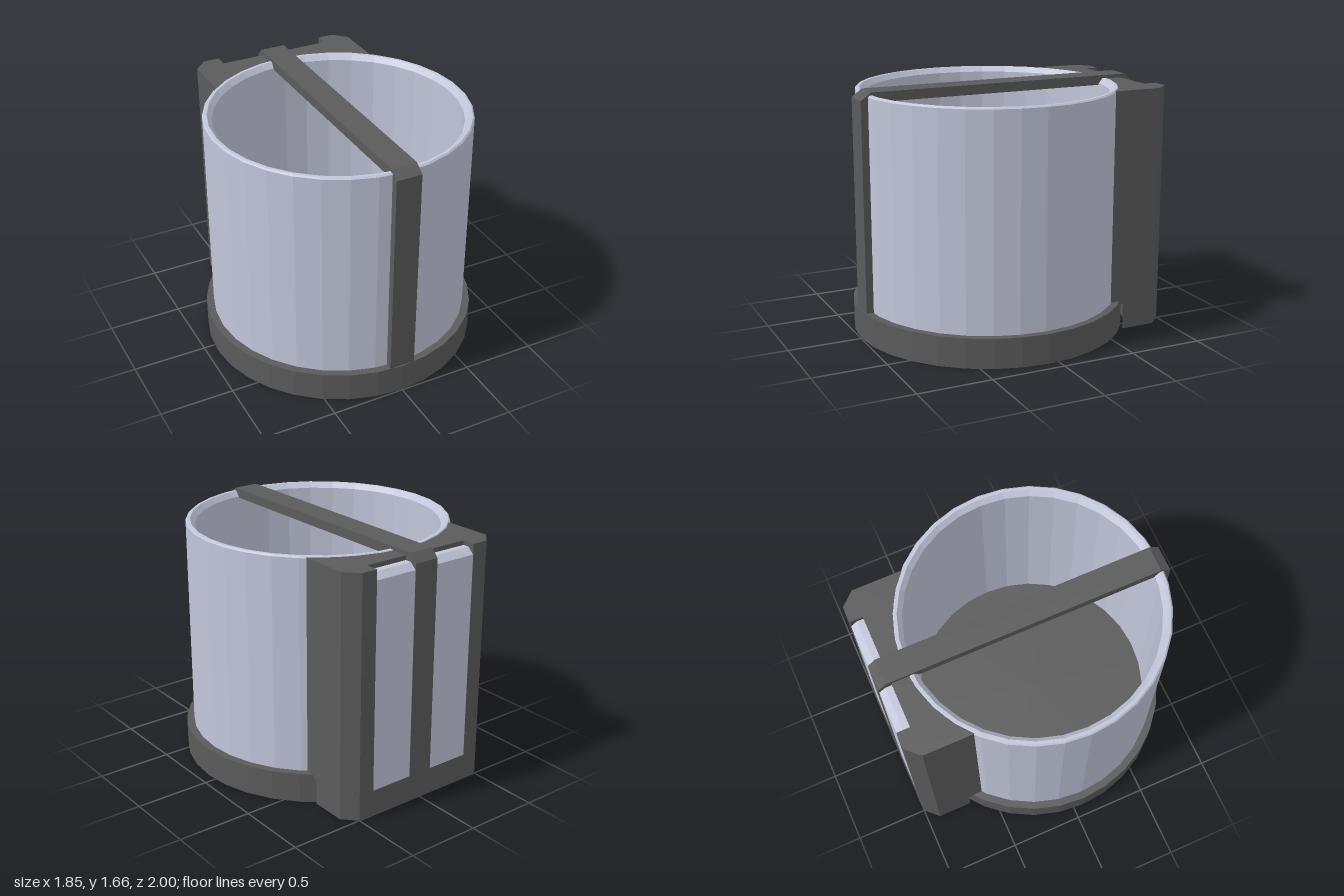
import * as THREE from 'three';

const CZ = 0.07;    // centre of the round cup along z
const SIDES = 32;

const grey = new THREE.MeshStandardMaterial({ color: 0x5b5b5b });
grey.name = 'dark grey';
const lavender = new THREE.MeshStandardMaterial({ color: 0xc2c6da });
lavender.name = 'pale lavender';

// Gives every face its own flat normal
function faceted(geometry) {
  const g = geometry.index ? geometry.toNonIndexed() : geometry;
  g.computeVertexNormals();
  return g;
}

function part(name, geometry, material) {
  const mesh = new THREE.Mesh(faceted(geometry), material);
  mesh.name = name;
  return mesh;
}

function lathe(points) {
  const g = new THREE.LatheGeometry(points.map(([r, y]) => new THREE.Vector2(r, y)), SIDES);
  return g.translate(0, 0, CZ);
}

// Extrudes a [z, y] profile across x, centred on the given x
function acrossX(profile, width, x) {
  const shape = new THREE.Shape(profile.map(([z, y]) => new THREE.Vector2(-z, y)));
  const g = new THREE.ExtrudeGeometry(shape, { depth: width, bevelEnabled: false });
  return g.translate(0, 0, -width / 2).rotateY(Math.PI / 2).translate(x, 0, 0);
}

// Back block: chamfered plan with a hollow that hugs the cup, optionally with a panel pocket
function blockSlice(radius, y0, y1, pocket) {
  const half = 0.585;
  const pts = [[half, 0.91], [0.5, 1]];
  if (pocket) pts.push([0.39, 1], [0.39, 0.91], [-0.39, 0.91], [-0.39, 1]);
  pts.push([-0.5, 1], [-half, 0.91]);
  const a = Math.asin(half / radius);
  for (let i = 0; i <= 12; i++) {
    const t = -a + (2 * a * i) / 12;
    pts.push([radius * Math.sin(t), radius * Math.cos(t) - CZ]);
  }
  const shape = new THREE.Shape(pts.map(([x, d]) => new THREE.Vector2(x, d)));
  const g = new THREE.ExtrudeGeometry(shape, { depth: y1 - y0, bevelEnabled: false });
  return g.rotateX(-Math.PI / 2).translate(0, y0, 0);
}

export function createModel() {
  const model = new THREE.Group();
  model.name = 'strappedCup';

  // Cup with a chamfered rim and raised underside
  model.add(part('cup', lathe([
    [0, 0.18], [0.875, 0.18], [0.875, 1.635], [0.865, 1.645],
    [0.845, 1.645], [0.815, 1.61], [0.815, 0.19],
  ]), lavender));

  // Dark floor inside the cup
  const floor = new THREE.CircleGeometry(0.82, SIDES).rotateX(-Math.PI / 2).translate(0, 0.2, CZ);
  model.add(part('cupFloor', floor, grey));

  // Base ring, open underneath
  model.add(part('baseRing', lathe([
    [0.872, 0], [0.925, 0], [0.925, 0.2], [0.86, 0.2], [0.872, 0.19], [0.872, 0],
  ]), grey));

  // Back block, with clearance around the base ring
  const block = new THREE.Group();
  block.name = 'backBlock';
  block.add(part('blockFoot', blockSlice(0.945, 0, 0.175, false), grey));
  block.add(part('blockBody', blockSlice(0.868, 0.175, 1.64, true), grey));
  model.add(block);

  // Inset panels on either side of the strap
  for (const side of [-1, 1]) {
    const panel = acrossX([
      [-0.905, 0.17], [-0.998, 0.17], [-0.998, 1.57], [-0.955, 1.61], [-0.905, 1.61],
    ], 0.31, side * 0.235);
    model.add(part(side > 0 ? 'leftPanel' : 'rightPanel', panel, lavender));
  }

  // Strap: up the front, over the cup and down the back
  model.add(part('strap', acrossX([
    [0.985, 0.19], [0.985, 1.615], [0.915, 1.665], [-0.945, 1.665], [-1, 1.61], [-1, 0.17],
    [-0.9, 0.17], [-0.9, 1.6], [0.9, 1.6], [0.9, 0.19],
  ], 0.175, 0), grey));

  return model;
}
